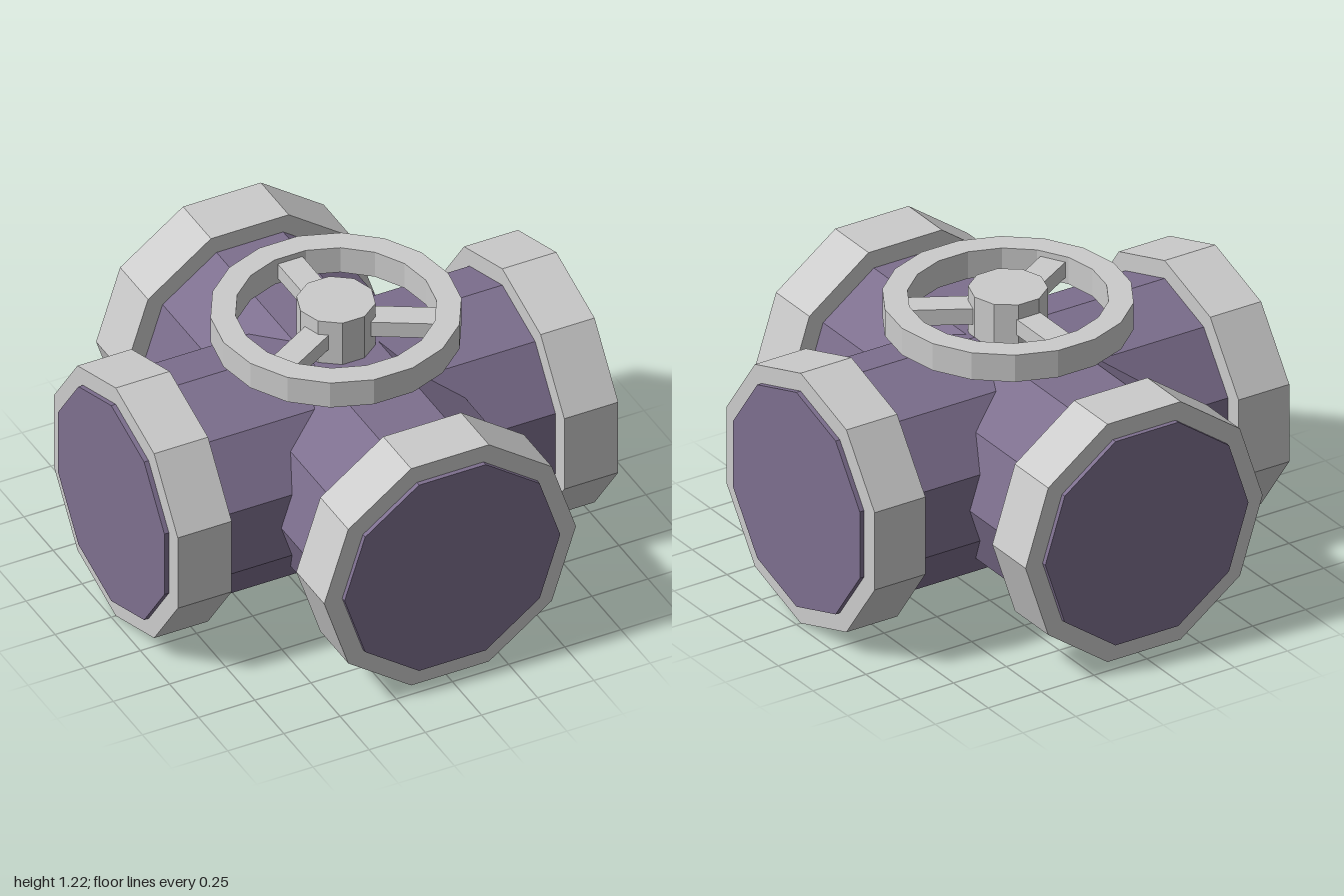
import * as THREE from 'three';

const AXIS_Y = 0.565; // height of the pipe centre lines

export function createModel() {
  const model = new THREE.Group();
  const purple = new THREE.MeshStandardMaterial({ color: 0x7d6f8e, flatShading: true });
  const grey = new THREE.MeshStandardMaterial({ color: 0xcccccc, flatShading: true });

  const add = (parent, name, geometry, material, x = 0, y = 0, z = 0) => {
    const mesh = new THREE.Mesh(geometry, material);
    mesh.name = name;
    mesh.position.set(x, y, z);
    parent.add(mesh);
    return mesh;
  };

  // Ten-sided cylinder lying along x or z
  const lyingCylinder = (radius, length, axis) => {
    const g = new THREE.CylinderGeometry(radius, radius, length, 10).rotateY(Math.PI / 2);
    return axis === 'x' ? g.rotateZ(Math.PI / 2) : g.rotateX(Math.PI / 2);
  };

  // Two crossing pipes, each with a collar near both ends
  for (const axis of ['x', 'z']) {
    const pipe = new THREE.Group();
    pipe.name = axis === 'x' ? 'crossPipe' : 'mainPipe';
    pipe.position.y = AXIS_Y;
    add(pipe, 'pipeBody', lyingCylinder(0.48, 2, axis), purple);
    for (const side of [-1, 1]) {
      const collar = add(pipe, 'collar', lyingCylinder(0.56, 0.24, axis), grey);
      collar.position[axis] = side * 0.86;
    }
    model.add(pipe);
  }

  // Valve wheel
  const wheel = new THREE.Group();
  wheel.name = 'valveWheel';
  model.add(wheel);

  // Rim: rectangular section turned about y
  const rim = [[0.4, 1.065], [0.5, 1.065], [0.5, 1.185], [0.4, 1.185], [0.4, 1.065]]
    .map(([r, y]) => new THREE.Vector2(r, y));
  add(wheel, 'rim', new THREE.LatheGeometry(rim, 18, Math.PI / 2), grey);

  // Hub and stem, running down into the pipe
  const hub = new THREE.CylinderGeometry(0.158, 0.158, 0.285, 10).rotateY(Math.PI / 2);
  add(wheel, 'hub', hub, grey, 0, 1.0825, 0);

  // Three spokes, the first pointing to the back
  for (let i = 0; i < 3; i++) {
    const spoke = new THREE.BoxGeometry(0.11, 0.07, 0.33).translate(0, 0, -0.265);
    add(wheel, 'spoke', spoke, grey, 0, 1.125, 0).rotation.y = i * Math.PI * 2 / 3;
  }

  return model;
}
